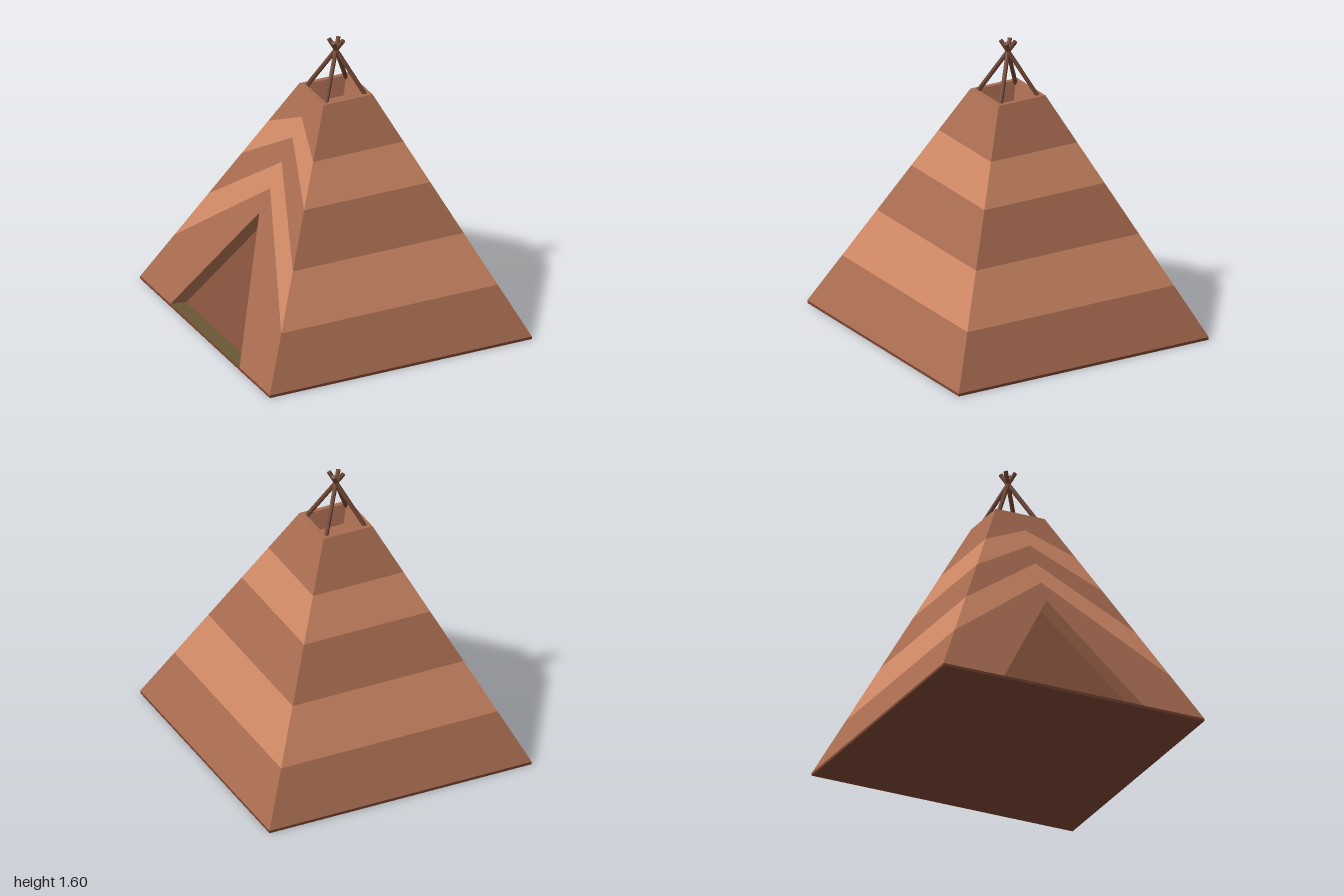
import * as THREE from 'three';

const BASE = 0.015, TOP = 1.3, HALF = 0.768;
const DARK = 0xa86c50, LIGHT = 0xcf8865;

// Half width of the tent at a given height
const half = (y) => HALF * (1 - 0.813 * (y - BASE) / (TOP - BASE));

function mesh(name, geometry, color, side = THREE.DoubleSide) {
  const m = new THREE.Mesh(geometry, new THREE.MeshStandardMaterial({ color, flatShading: true, side }));
  m.name = name;
  return m;
}

// Flat polygon given as (u, y) points, leaned onto the sloping wall, optionally set inward
function wallPanel(name, points, color, inset = 0) {
  const geo = new THREE.ShapeGeometry(new THREE.Shape(points.map(([u, y]) => new THREE.Vector2(u, y))));
  const p = geo.attributes.position;
  for (let i = 0; i < p.count; i++) p.setZ(i, half(p.getY(i)) - inset);
  geo.computeVertexNormals();
  return mesh(name, geo, color);
}

function quad(name, corners, color) {
  const geo = new THREE.BufferGeometry();
  geo.setAttribute('position', new THREE.Float32BufferAttribute(corners.flat(), 3));
  geo.setIndex([0, 1, 2, 0, 2, 3]);
  geo.computeVertexNormals();
  return mesh(name, geo, color);
}

export function createModel() {
  const tent = new THREE.Group();
  tent.name = 'tent';

  // Ground slab
  const slab = mesh('groundSlab', new THREE.BoxGeometry(HALF * 2, BASE, HALF * 2), 0x7c4633, THREE.FrontSide);
  slab.position.y = BASE / 2;
  tent.add(slab);

  // Striped walls: straight bands on three sides, chevrons around the door on the front
  const edges = [BASE, 0.29, 0.565, 0.835, 1.05, TOP];
  const peaks = [BASE, 0.8, 0.94, 1.07, 1.18, TOP];
  const door = { w: 0.41, h: 0.67 };
  for (let side = 0; side < 4; side++) {
    const wall = new THREE.Group();
    wall.name = side === 0 ? 'frontWall' : 'wall' + side;
    wall.rotation.y = side * Math.PI / 2;
    for (let i = 0; i < 5; i++) {
      const lo = edges[i], hi = edges[i + 1];
      const points = [[-half(lo), lo]];
      if (side === 0) {
        if (i === 0) points.push([-door.w, BASE], [0, door.h], [door.w, BASE]);
        else points.push([0, peaks[i]]);
      }
      points.push([half(lo), lo], [half(hi), hi]);
      if (side === 0 && i < 4) points.push([0, peaks[i + 1]]);
      points.push([-half(hi), hi]);
      wall.add(wallPanel('stripe', points, i % 2 ? LIGHT : DARK));
    }
    tent.add(wall);
  }

  // Recessed doorway
  const inset = 0.083, inner = { w: 0.39, h: 0.637 };
  tent.add(wallPanel('doorPanel', [[-inner.w, BASE], [inner.w, BASE], [0, inner.h]], 0x84503c, inset));
  for (const s of [-1, 1]) {
    tent.add(quad('doorReveal', [
      [s * door.w, BASE, HALF], [0, door.h, half(door.h)],
      [0, inner.h, half(inner.h) - inset], [s * inner.w, BASE, HALF - inset],
    ], DARK));
  }
  tent.add(quad('doorSill', [
    [-door.w, BASE + 0.001, HALF], [door.w, BASE + 0.001, HALF],
    [inner.w, BASE + 0.001, HALF - inset], [-inner.w, BASE + 0.001, HALF - inset],
  ], 0x6a5836));

  // Smoke hole: rim, tapering sides and closed bottom
  const rim = half(TOP) * Math.SQRT2;
  const profile = [[0, 1.2], [0.125, 1.2], [0.168, TOP], [rim, TOP]].map(([r, y]) => new THREE.Vector2(r, y));
  const hole = mesh('smokeHole', new THREE.LatheGeometry(profile, 4), DARK);
  hole.rotation.y = Math.PI / 4;
  tent.add(hole);

  // Crossing poles, one from each corner
  const poleGeo = new THREE.CylinderGeometry(0.012, 0.012, Math.hypot(0.21, 0.31), 8);
  for (let i = 0; i < 4; i++) {
    const arm = new THREE.Group();
    arm.name = 'poleArm';
    arm.rotation.y = Math.PI / 4 + i * Math.PI / 2;
    const pole = mesh('pole', poleGeo, 0x6f4533, THREE.FrontSide);
    pole.position.set(0.065, 1.435, 0);
    pole.rotation.z = Math.atan2(0.21, 0.31);
    arm.add(pole);
    tent.add(arm);
  }

  // The tent stands turned a little on its spot
  tent.rotation.y = -0.384;
  const model = new THREE.Group();
  model.add(tent);
  return model;
}
